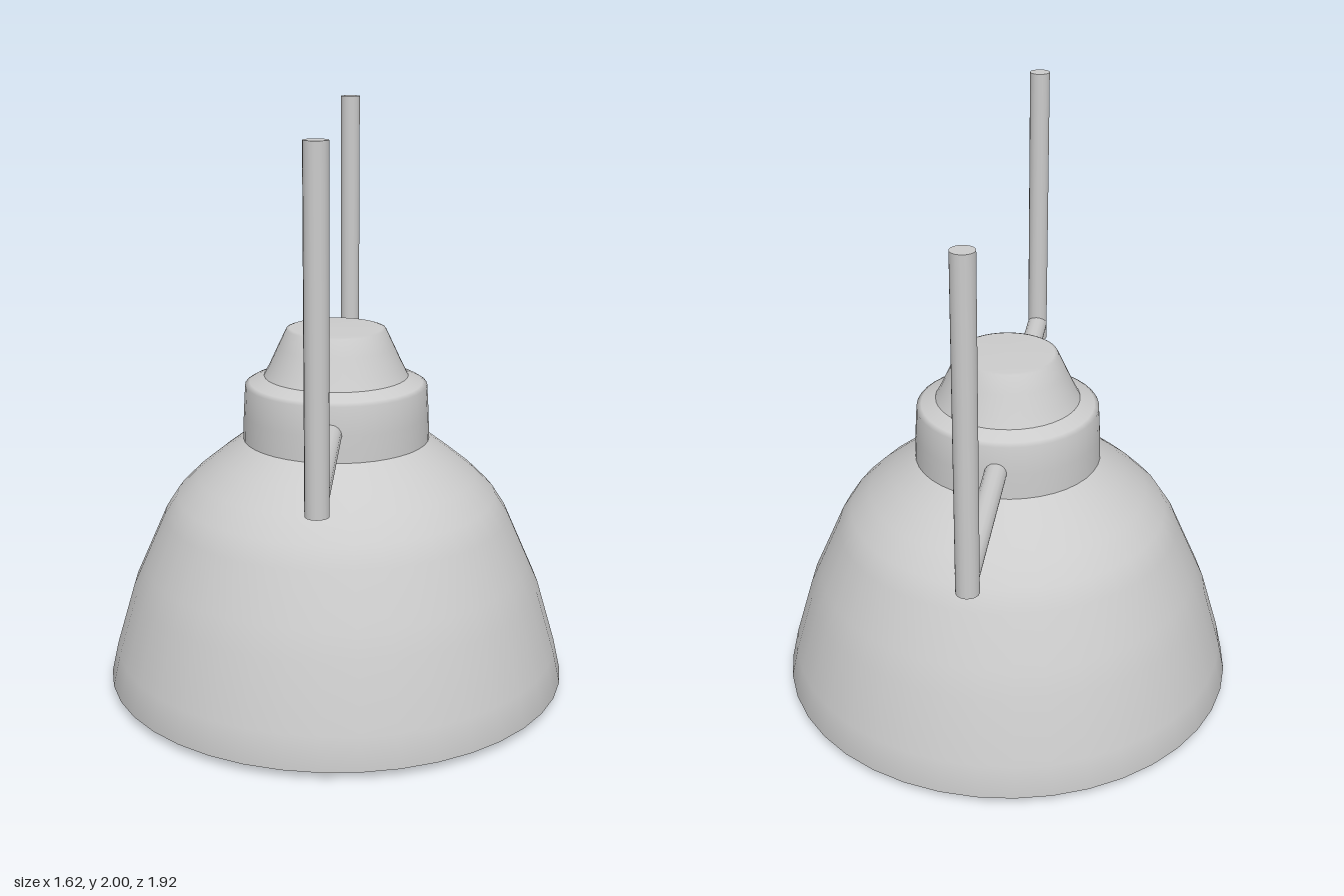
import * as THREE from 'three';

const material = new THREE.MeshStandardMaterial({ color: 0xcccccc });
const SEGMENTS = 40;

function lathe(name, profile) {
  const points = profile.map(([r, y]) => new THREE.Vector2(r, y));
  const mesh = new THREE.Mesh(new THREE.LatheGeometry(points, SEGMENTS), material);
  mesh.name = name;
  return mesh;
}

// Straight rod between two points
function rod(name, from, to, radius) {
  const axis = to.clone().sub(from);
  const mesh = new THREE.Mesh(new THREE.CylinderGeometry(radius, radius, axis.length(), 16), material);
  mesh.position.copy(from).add(to).multiplyScalar(0.5);
  mesh.quaternion.setFromUnitVectors(new THREE.Vector3(0, 1, 0), axis.normalize());
  mesh.name = name;
  return mesh;
}

export function createModel() {
  const lamp = new THREE.Group();
  lamp.name = 'pendantLamp';

  // Thin-walled bell shade: inner wall downwards, round the rim, then outer wall upwards
  lamp.add(lathe('shade', [
    [0, 0.87], [0.31, 0.87], [0.47, 0.74], [0.575, 0.62], [0.695, 0.36], [0.765, 0.14], [0.79, 0.028],
    [0.81, 0.028], [0.785, 0.14], [0.72, 0.36], [0.68, 0.45], [0.605, 0.62], [0.56, 0.69],
    [0.49, 0.76], [0.41, 0.825], [0.325, 0.89],
  ]));

  // Neck collar with its sloping shoulder
  lamp.add(lathe('neck', [
    [0.325, 0.87], [0.325, 0.89], [0.322, 0.98], [0.316, 1.08], [0.3, 1.09], [0.25, 1.112],
  ]));

  // Tapered cap
  lamp.add(lathe('cap', [
    [0.25, 1.112], [0.23, 1.15], [0.2, 1.215], [0.172, 1.274], [0.16, 1.278], [0, 1.28],
  ]));

  // Bulb with a flattened tip, its stem reaching up into the shade
  lamp.add(lathe('bulb', [
    [0, 0], [0.11, 0.005], [0.175, 0.03], [0.245, 0.11], [0.28, 0.22], [0.275, 0.32],
    [0.235, 0.42], [0.175, 0.52], [0.135, 0.62], [0.12, 0.72], [0.12, 0.88],
  ]));

  // Front and back hanging brackets
  for (const side of [1, -1]) {
    const bracket = new THREE.Group();
    bracket.name = side > 0 ? 'frontBracket' : 'backBracket';
    const z = 0.922 * side;
    bracket.add(
      rod('arm', new THREE.Vector3(0, 0.983, 0.28 * side), new THREE.Vector3(0, 0.983, z), 0.038),
      rod('upright', new THREE.Vector3(0, 0.92, z), new THREE.Vector3(0, 2, z), 0.037),
    );
    lamp.add(bracket);
  }
  return lamp;
}
